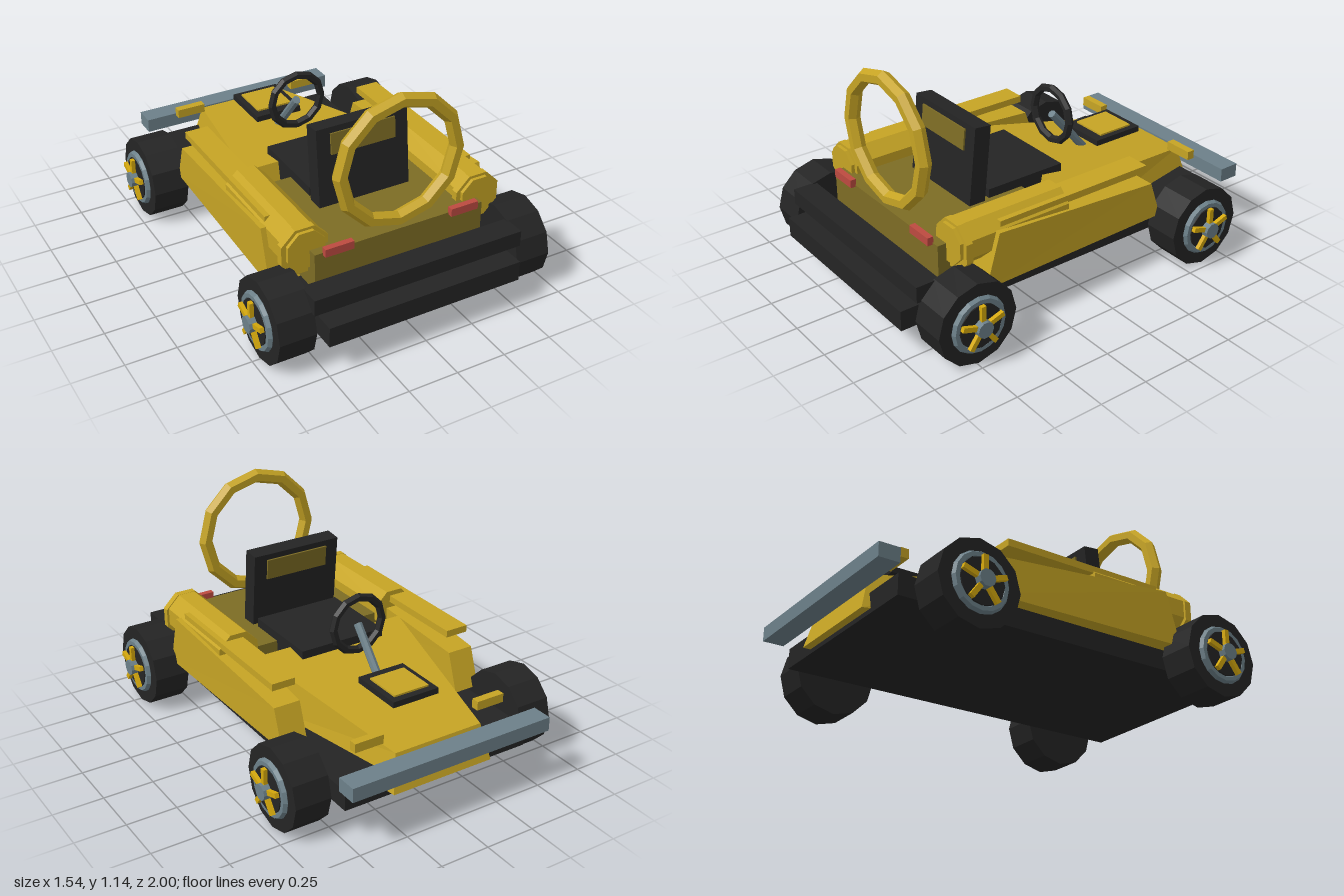
import * as THREE from 'three';

const mat = (name, color, flatShading = true) => {
  const m = new THREE.MeshStandardMaterial({ color, flatShading });
  m.name = name;
  return m;
};

export function createModel() {
  const gold = mat('gold paint', 0xc6a424);
  const darkGold = mat('dark gold', 0x7d6c24);
  const black = mat('black', 0x242424);
  const steel = mat('steel grey', 0x6c8089);
  const red = mat('red lamp', 0xbd4a40);
  const spokeGold = mat('bright gold', 0xd6a90c);

  const root = new THREE.Group();
  root.name = 'goKart';

  const add = (name, geo, m, parent = root) => {
    const mesh = new THREE.Mesh(geo, m);
    mesh.name = name;
    parent.add(mesh);
    return mesh;
  };
  // box given by its extents on each axis
  const box = (name, m, x0, x1, y0, y1, z0, z1, parent) => {
    const b = add(name, new THREE.BoxGeometry(x1 - x0, y1 - y0, z1 - z0), m, parent);
    b.position.set((x0 + x1) / 2, (y0 + y1) / 2, (z0 + z1) / 2);
    return b;
  };
  // cylinder lying along x or z
  const rod = (name, m, r, len, sides, axis, x, y, z, parent) => {
    const g = new THREE.CylinderGeometry(r, r, len, sides);
    if (axis === 'x') g.rotateZ(Math.PI / 2);
    else g.rotateY(Math.PI / sides).rotateX(Math.PI / 2);
    const c = add(name, g, m, parent);
    c.position.set(x, y, z);
    return c;
  };
  // six-sided block: a box whose corners are moved by a rule
  const block = (name, m, rule) => {
    const g = new THREE.BoxGeometry(2, 2, 2);
    const p = g.attributes.position;
    for (let i = 0; i < p.count; i++) {
      p.setXYZ(i, ...rule(p.getX(i) > 0, p.getY(i) > 0, p.getZ(i) > 0));
    }
    g.computeVertexNormals();
    return add(name, g, m);
  };

  // chassis and bumpers
  box('floorPan', black, -0.5, 0.5, 0.16, 0.26, -0.88, 1.0);
  box('rearBumper', black, -0.54, 0.54, 0.3, 0.38, 0.82, 0.94);
  box('frontBumper', steel, -0.54, 0.54, 0.285, 0.355, -1.0, -0.895);

  // tapered nose
  block('nose', gold, (right, top, back) => {
    const w = back ? (top ? 0.41 : 0.45) : (top ? 0.235 : 0.27);
    const y = top ? (back ? 0.49 : 0.36) : (back ? 0.24 : 0.18);
    const z = back ? (top ? 0.015 : 0.065) : (top ? -0.875 : -0.92);
    return [right ? w : -w, y, z];
  });

  // nose plate
  box('nosePlateBase', black, -0.125, 0.125, 0.465, 0.495, -0.7, -0.42);
  box('nosePlate', gold, -0.095, 0.095, 0.495, 0.504, -0.665, -0.47);

  // engine cover behind the seat
  box('rearDeck', darkGold, -0.44, 0.44, 0.28, 0.47, 0.14, 0.76);

  for (const s of [-1, 1]) {
    // side pods
    block('sidePod', gold, (right, top, back) => {
      const outer = right === s > 0;
      const x = outer ? (back ? 0.585 : 0.56) : (back ? 0.4 : 0.425);
      const y = top ? (back ? 0.522 : 0.45) : 0.26;
      const z = back ? (top ? 0.53 : 0.605) : (top ? -0.39 : -0.455);
      return [s * x, y, z];
    });
    const span = (a, b) => (s > 0 ? [a, b] : [-b, -a]);
    box('podRail', gold, ...span(0.43, 0.55), 0.52, 0.555, -0.36, 0.5);
    rod('sideTank', gold, 0.113, 0.56, 8, 'z', s * 0.455, 0.475, 0.4);
    rod('tankCollar', gold, 0.125, 0.035, 8, 'z', s * 0.455, 0.465, 0.68);
    rod('tankCap', gold, 0.1, 0.02, 8, 'z', s * 0.455, 0.475, 0.705);
    // lamps
    box('headLamp', gold, ...span(0.26, 0.41), 0.39, 0.435, -0.82, -0.78);
    box('tailLamp', red, ...span(0.255, 0.4), 0.46, 0.5, 0.755, 0.785);
  }

  // seat
  box('seatCushion', black, -0.23, 0.23, 0.26, 0.515, -0.1, 0.33);
  const back = new THREE.Group();
  back.name = 'seatBack';
  back.position.set(0, 0.655, 0.385);
  back.rotation.x = -0.1;
  root.add(back);
  box('backrest', black, -0.24, 0.24, -0.2, 0.2, -0.043, 0.043, back);
  for (const s of [-1, 1]) {
    const z = s * 0.047;
    box('backrestPad', darkGold, -0.17, 0.17, 0.065, 0.17, z - 0.0045, z + 0.0045, back);
  }

  // roll hoop
  const hoop = add('rollHoop', new THREE.TorusGeometry(0.3, 0.037, 6, 12), gold);
  hoop.position.set(0, 0.805, 0.727);

  // steering wheel and column
  const steering = add('steeringWheel', new THREE.TorusGeometry(0.137, 0.021, 6, 12), black);
  steering.position.set(0, 0.655, -0.225);
  const a = new THREE.Vector3(0, 0.655, -0.225);
  const b = new THREE.Vector3(0, 0.38, -0.46);
  const column = add('steeringColumn', new THREE.CylinderGeometry(0.021, 0.021, a.distanceTo(b), 8), steel);
  column.position.copy(a).add(b).multiplyScalar(0.5);
  column.quaternion.setFromUnitVectors(new THREE.Vector3(0, 1, 0), a.clone().sub(b).normalize());

  // axles and wheels
  for (const z of [0.74, -0.615]) {
    rod('axle', steel, 0.027, 1.2, 8, 'x', 0, 0.205, z);
    for (const s of [-1, 1]) {
      const wheel = new THREE.Group();
      wheel.name = 'wheel';
      wheel.position.set(s * 0.62, 0.205, z);
      wheel.rotation.y = s > 0 ? 0 : Math.PI;
      root.add(wheel);
      rod('tyre', black, 0.205, 0.18, 12, 'x', 0, 0, 0, wheel);
      rod('wheelDisc', black, 0.11, 0.025, 12, 'x', 0.1, 0, 0, wheel);
      const rim = add('rim', new THREE.TorusGeometry(0.122, 0.02, 6, 16).rotateY(Math.PI / 2), steel, wheel);
      rim.position.x = 0.092;
      rod('hub', steel, 0.04, 0.06, 10, 'x', 0.12, 0, 0, wheel);
      for (let i = 0; i < 5; i++) {
        const g = new THREE.BoxGeometry(0.02, 0.085, 0.024);
        g.translate(0.125, 0.07, 0).rotateX((i * Math.PI * 2) / 5);
        add('spoke', g, spokeGold, wheel);
      }
    }
  }
  return root;
}
